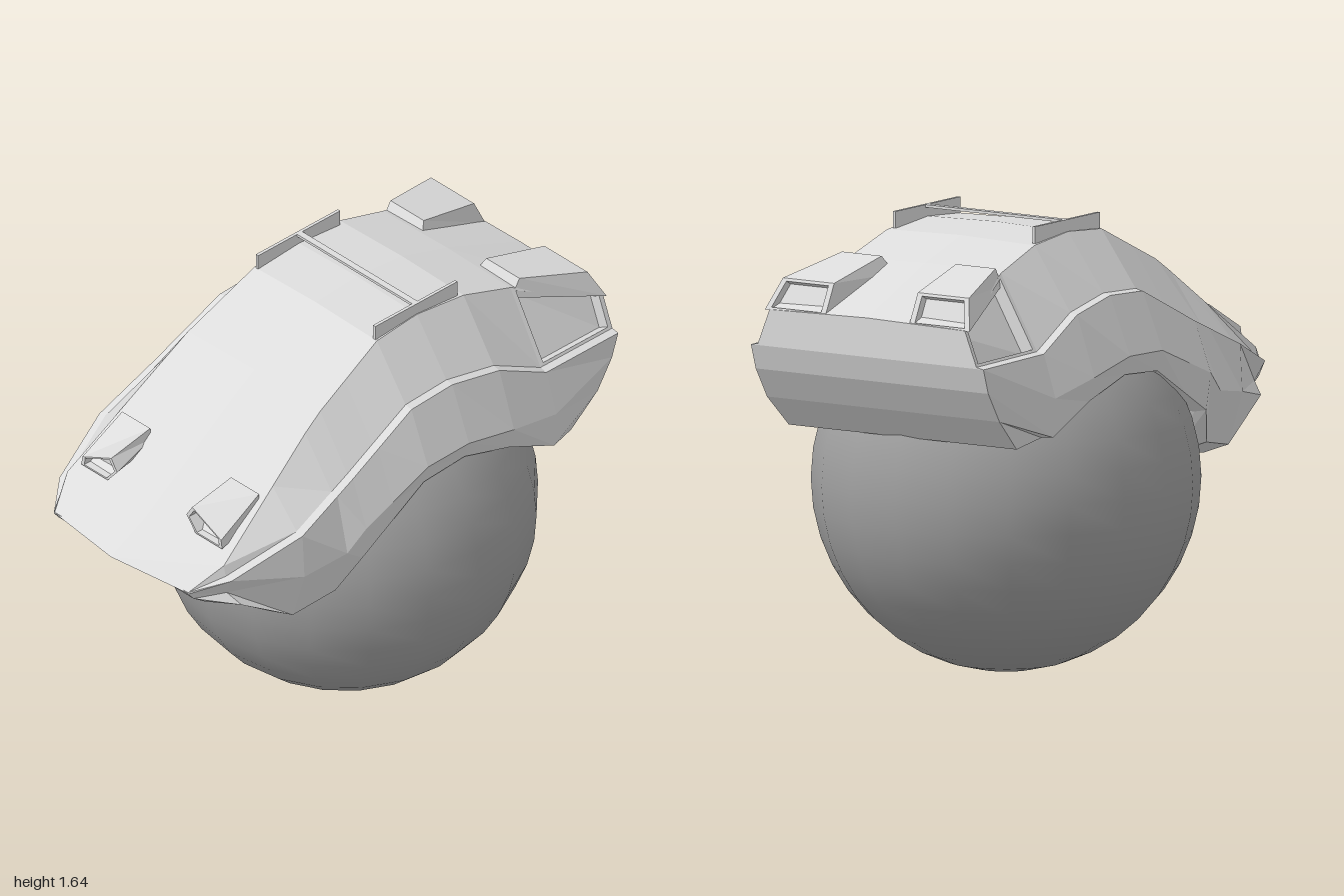
import * as THREE from 'three';

const shellGrey = new THREE.MeshStandardMaterial({ color: 0xdcdcdc });
shellGrey.name = 'shellGrey';
const ballGrey = new THREE.MeshStandardMaterial({ color: 0xa0a0a0 });
ballGrey.name = 'ballGrey';

// Flat-shaded mesh from polygons, each a loop of [x, y, z] corners
function facetMesh(name, polygons) {
  const out = [];
  for (const p of polygons)
    for (let i = 1; i < p.length - 1; i++) out.push(...p[0], ...p[i], ...p[i + 1]);
  const geo = new THREE.BufferGeometry();
  geo.setAttribute('position', new THREE.Float32BufferAttribute(out, 3));
  geo.computeVertexNormals();
  const mesh = new THREE.Mesh(geo, shellGrey);
  mesh.name = name;
  return mesh;
}

const flip = ([x, y, z]) => [-x, y, z];
const mirrored = (polys) => polys.map((p) => p.map(flip).reverse());

// Straight-line curve through [z, value] points, z ascending
const curve = (...pts) => (z) => {
  let i = 1;
  while (i < pts.length - 1 && z > pts[i][0]) i++;
  const [[z0, v0], [z1, v1]] = [pts[i - 1], pts[i]];
  return v0 + (v1 - v0) * THREE.MathUtils.clamp((z - z0) / (z1 - z0), 0, 1);
};

// Lengthwise lines of the shell: roof, shoulder lip, side crease and skirt
const roofY = curve([-1, 1.37], [-0.64, 1.52], [-0.42, 1.59], [-0.2, 1.61], [0, 1.595], [0.32, 1.44], [0.83, 1.07], [0.95, 0.98]);
const edgeX = curve([-1, 0.42], [-0.64, 0.325], [-0.1, 0.305], [0.38, 0.345], [0.83, 0.4], [0.95, 0.34]);
const lipX = curve([-1, 0.5], [-0.64, 0.51], [-0.1, 0.485], [0.56, 0.52], [0.83, 0.44], [0.95, 0.344]);
const lipY = curve([-1, 1.23], [-0.64, 1.24], [-0.42, 1.35], [-0.2, 1.39], [0, 1.38], [0.3, 1.235], [0.56, 1.12], [0.95, 0.97]);
const creaseX = curve([-1, 0.5], [-0.64, 0.56], [-0.42, 0.575], [0.3, 0.575], [0.56, 0.53], [0.95, 0.346]);
const creaseY = curve([-1, 1.14], [-0.64, 1.085], [-0.2, 1.18], [0, 1.175], [0.3, 1.055], [0.38, 0.98], [0.56, 0.95], [0.95, 0.94]);
const skirtX = curve([-1, 0.5], [-0.64, 0.55], [0.3, 0.555], [0.38, 0.5], [0.56, 0.47], [0.83, 0.45], [0.95, 0.345]);
const skirtY = curve([-1, 1.03], [-0.64, 0.945], [-0.42, 1.045], [-0.2, 1.112], [0, 1.1], [0.3, 0.92], [0.38, 0.79], [0.56, 0.755], [0.83, 0.9]);
const bellyInset = curve([-1, 0.01], [-0.64, 0.05], [0.3, 0.05], [0.38, 0.14], [0.56, 0.11], [0.95, 0.015]);
const bellyDrop = curve([-1, 0.115], [-0.64, 0.005], [0.3, 0.01], [0.38, 0.05], [0.56, 0.04], [0.83, 0.003]);
// The tail undercuts forwards and the nose undercuts backwards
const skirtShift = curve([-1, 0.1], [-0.64, 0], [0.56, 0], [0.83, -0.04], [0.95, -0.08]);
const bellyShift = curve([-1, 0.22], [-0.64, 0], [0.56, 0], [0.83, -0.05], [0.95, -0.08]);
const noseBulge = curve([0.83, 0], [0.95, 0.05]);

// Half section from the roof centre, over the lip and crease, to the belly centre
function section(z) {
  const bellyY = skirtY(z) - bellyDrop(z), bellyZ = z + bellyShift(z);
  return [
    [0, roofY(z), z + noseBulge(z)],
    [edgeX(z), roofY(z) - 0.008, z],
    [Math.max(lipX(z) - 0.03, edgeX(z) + 0.002), lipY(z) + 0.006, z],
    [lipX(z), lipY(z), z],
    [creaseX(z), creaseY(z), z + skirtShift(z) * 0.3],
    [skirtX(z), skirtY(z), z + skirtShift(z)],
    [skirtX(z) - bellyInset(z), bellyY, bellyZ],
    [0, bellyY, bellyZ],
  ];
}

// Rim with a sunken floor, optionally walled back to a second outline
function scoop(face, depth, inset, back) {
  const n = face.length, polys = [];
  const v = face.map((p) => new THREE.Vector3(...p));
  const centre = v.reduce((sum, p) => sum.add(p), new THREE.Vector3()).divideScalar(n);
  const normal = new THREE.Vector3();
  v.forEach((p, i) => normal.add(p.clone().sub(centre).cross(v[(i + 1) % n].clone().sub(centre))));
  normal.normalize();
  const rim = v.map((p) => p.clone().lerp(centre, inset));
  const floor = rim.map((p) => p.clone().addScaledVector(normal, -depth).toArray());
  const inner = rim.map((p) => p.toArray());
  for (let i = 0; i < n; i++) {
    const k = (i + 1) % n;
    polys.push([face[i], face[k], inner[k], inner[i]]);
    polys.push([inner[i], inner[k], floor[k], floor[i]]);
    if (back) polys.push([face[k], face[i], back[i], back[k]]);
  }
  polys.push(floor);
  if (back) polys.push([...back].reverse());
  return polys;
}

function bodyShell() {
  const s = [0.95, 0.83, 0.56, 0.38, 0.3, 0.17, 0, -0.2, -0.42, -0.64, -1].map(section);
  const last = s.length - 1, nose = s[0], tail = s[last], quarter = s[last - 1];
  const half = [], ends = [];
  for (let j = 0; j < 7; j++) {
    for (let i = 0; i < last; i++) {
      // The last upper side panel is left open for the side scoop
      if (i === last - 1 && j === 1) continue;
      half.push([s[i][j], s[i][j + 1], s[i + 1][j + 1], s[i + 1][j]]);
    }
    // Nose and tail faces
    ends.push([flip(nose[j]), flip(nose[j + 1]), nose[j + 1], nose[j]]);
    ends.push([tail[j], tail[j + 1], flip(tail[j + 1]), flip(tail[j])]);
  }
  // Sunken side scoops
  half.push(...scoop([quarter[1], quarter[2], tail[2], tail[1]], 0.05, 0.1));
  return facetMesh('bodyShell', [...half, ...mirrored(half), ...ends]);
}

export function createModel() {
  const model = new THREE.Group();
  model.name = 'ballVehicle';

  // Rolling ball
  const ball = new THREE.Mesh(new THREE.SphereGeometry(0.69, 20, 20), ballGrey);
  ball.name = 'rollingBall';
  ball.position.set(0, 0.69, -0.14);
  model.add(ball);

  model.add(bodyShell());

  // Hooded lamps on the bonnet
  const lamp = scoop(
    [[0.355, 1.135, 0.8], [0.207, 1.203, 0.8], [0.177, 1.157, 0.8], [0.225, 1.1, 0.8], [0.36, 1.1, 0.8]],
    0.05, 0.16,
    [[0.35, 1.24, 0.61], [0.207, 1.24, 0.61], [0.2, 1.2, 0.61], [0.22, 1.15, 0.61], [0.35, 1.15, 0.61]]);
  model.add(facetMesh('leftLamp', lamp), facetMesh('rightLamp', mirrored(lamp)));

  // Raised rear pods with vents
  const pod = scoop(
    [[0.4, 1.47, -0.945], [0.44, 1.36, -1], [0.18, 1.36, -1], [0.18, 1.47, -0.945]],
    0.03, 0.18,
    [[0.33, 1.535, -0.68], [0.33, 1.47, -0.64], [0.13, 1.47, -0.64], [0.16, 1.535, -0.68]]);
  model.add(facetMesh('leftRearPod', pod), facetMesh('rightRearPod', mirrored(pod)));

  // Roof rails and cross bar
  const bar = (name, w, h, d, x, y, z) => {
    const m = new THREE.Mesh(new THREE.BoxGeometry(w, h, d), shellGrey);
    m.name = name;
    m.position.set(x, y, z);
    model.add(m);
  };
  bar('leftRoofRail', 0.012, 0.06, 0.4, 0.3, 1.615, -0.2);
  bar('rightRoofRail', 0.012, 0.06, 0.4, -0.3, 1.615, -0.2);
  bar('roofCrossBar', 0.6, 0.01, 0.025, 0, 1.64, -0.203);

  return model;
}
